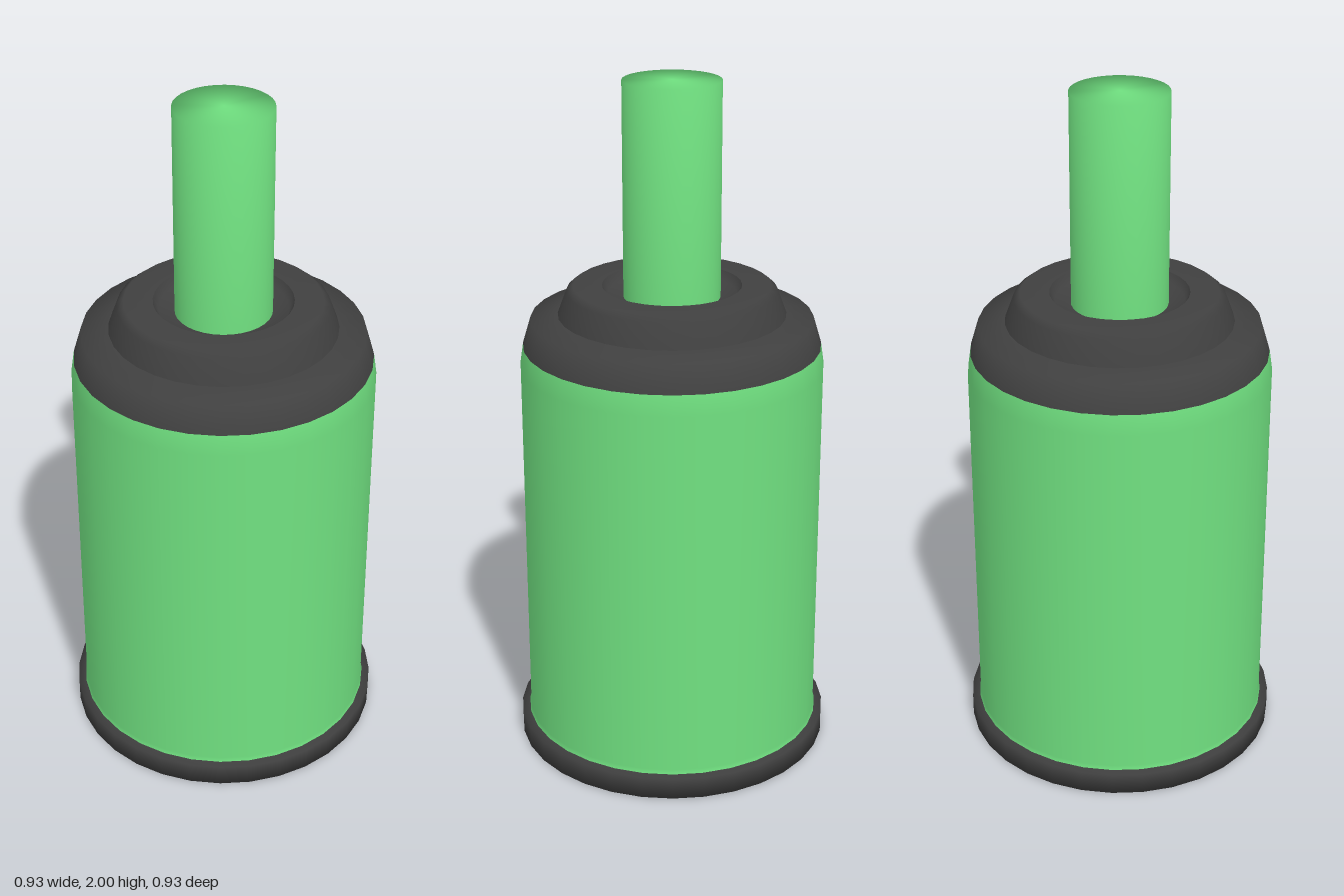
import * as THREE from 'three';

const GREEN = 0x70e080;
const DARK = 0x404040;
const SIDES = 32;

// Smooth turned part from [radius, height] pairs, listed from bottom to top
function turned(name, color, profile) {
  const points = profile.map(([r, y]) => new THREE.Vector2(r, y));
  const material = new THREE.MeshStandardMaterial({ color, side: THREE.DoubleSide });
  const mesh = new THREE.Mesh(new THREE.LatheGeometry(points, SIDES), material);
  mesh.name = name;
  return mesh;
}

export function createModel() {
  const model = new THREE.Group();
  model.name = 'canister';

  // Flat foot with a small overhang
  model.add(turned('baseRim', DARK, [
    [0, 0], [0.465, 0], [0.465, 0.065], [0.43, 0.068],
  ]));

  // Main can, tapering slightly under the collar
  model.add(turned('body', GREEN, [
    [0.443, 0.065], [0.439, 0.08], [0.439, 1.18], [0.43, 1.24],
  ]));

  // Sloped collar with a narrow step
  model.add(turned('collar', DARK, [
    [0.43, 1.24], [0.406, 1.32], [0.328, 1.33],
  ]));

  // Raised ring around the stem
  model.add(turned('raisedRing', DARK, [
    [0.328, 1.33], [0.302, 1.4], [0.283, 1.415], [0.2, 1.415],
  ]));

  // Shallow recess the stem rises from
  model.add(turned('recess', DARK, [
    [0.2, 1.415], [0.185, 1.39], [0.135, 1.38],
  ]));

  // Stem with a closed top
  model.add(turned('stem', GREEN, [
    [0.139, 1.36], [0.139, 2], [0, 2],
  ]));

  return model;
}
